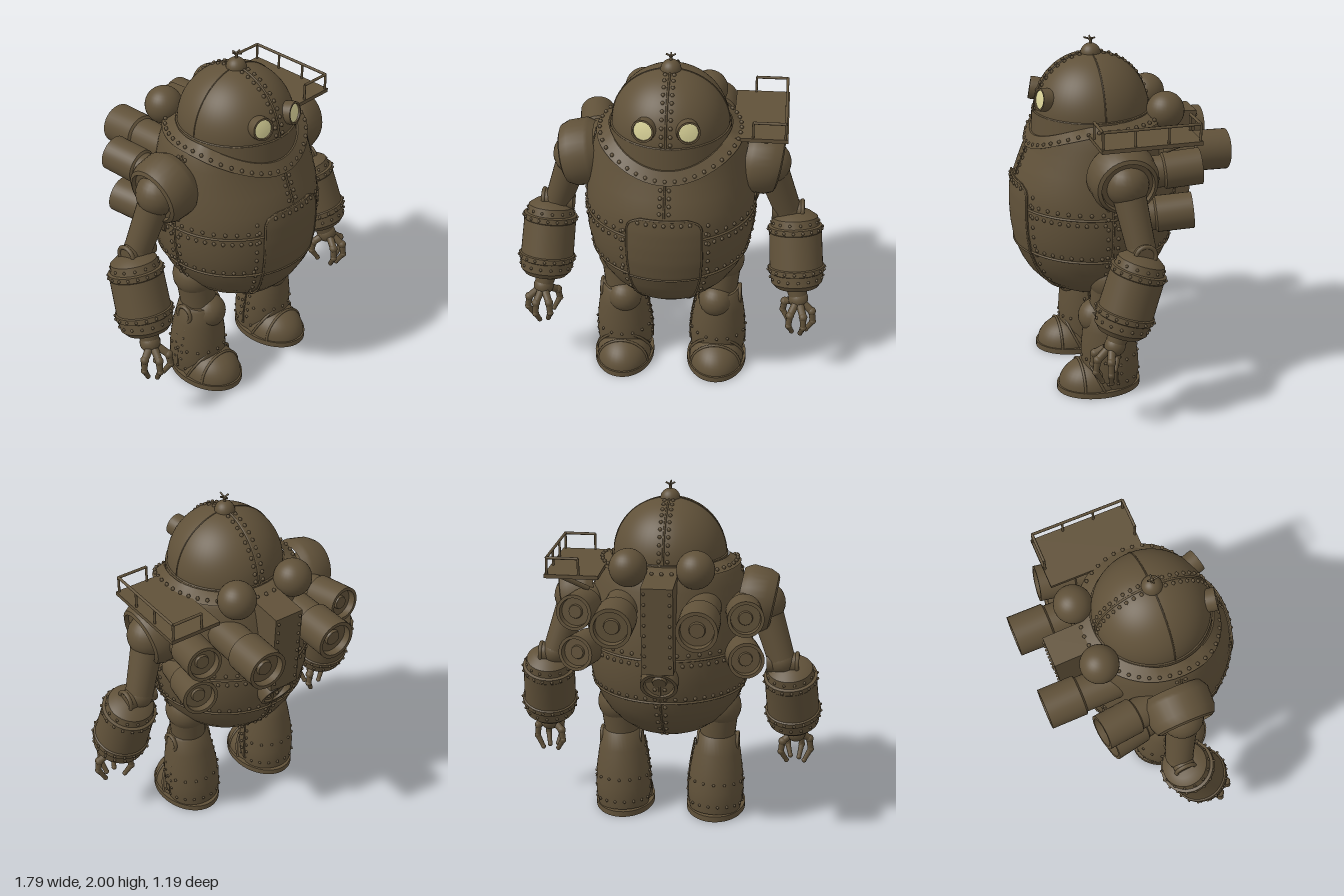
import * as THREE from 'three';
import { mergeGeometries, mergeVertices, toCreasedNormals } from 'three/addons/utils/BufferGeometryUtils.js';

const V = (x, y, z) => new THREE.Vector3(x, y, z);
const CZ = 0.12; // depth of the body's axis
// Body profile: height, radius at sides and back, radius at the front
const PROFILE = [
  [0.515, 0, 0], [0.52, 0.09, 0.09], [0.535, 0.165, 0.165], [0.57, 0.24, 0.24], [0.62, 0.305, 0.305],
  [0.68, 0.36, 0.36], [0.75, 0.405, 0.4], [0.84, 0.443, 0.435], [0.95, 0.467, 0.452], [1.05, 0.474, 0.456],
  [1.15, 0.472, 0.453], [1.23, 0.465, 0.44], [1.32, 0.452, 0.405], [1.4, 0.437, 0.37], [1.47, 0.423, 0.35],
  [1.53, 0.405, 0.34], [1.58, 0.375, 0.33], [1.6, 0.33, 0.33]];
const frontness = t => Math.max(0, Math.cos(t)) ** 2;

function bodyPoint(t, y, off = 0) {
  let k = 0;
  while (k < PROFILE.length - 2 && PROFILE[k + 1][0] < y) k++;
  const [a, b] = [PROFILE[k], PROFILE[k + 1]];
  const f = (y - a[0]) / (b[0] - a[0]), w = frontness(t);
  const at = p => p[1] + (p[2] - p[1]) * w;
  const r = at(a) + (at(b) - at(a)) * f + off;
  return V(r * Math.sin(t), y, CZ + r * Math.cos(t));
}

// Grid surface from fn(i, j): i runs to the right, j runs upward
function surface(fn, nu, nv, crease) {
  const pos = [], idx = [], w = nu + 1;
  for (let j = 0; j <= nv; j++) for (let i = 0; i <= nu; i++) pos.push(...fn(i, j).toArray());
  for (let j = 0; j < nv; j++) for (let i = 0; i < nu; i++) {
    const a = j * w + i;
    idx.push(a, a + 1, a + w, a + 1, a + w + 1, a + w);
  }
  let g = new THREE.BufferGeometry();
  g.setAttribute('position', new THREE.Float32BufferAttribute(pos, 3));
  g.setIndex(idx);
  g = mergeVertices(g, 1e-5);
  g.computeVertexNormals();
  return crease ? toCreasedNormals(g, crease) : g;
}

// Moves a geometry that rises along y so that it starts at a and points to b
function orient(g, a, b) {
  const q = new THREE.Quaternion().setFromUnitVectors(V(0, 1, 0), b.clone().sub(a).normalize());
  return g.applyQuaternion(q).translate(a.x, a.y, a.z);
}
const turned = (pts, a, b, n = 32) => orient(toCreasedNormals(
  new THREE.LatheGeometry(pts.map(p => new THREE.Vector2(...p)), n), 0.6), a, b);
function rod(a, b, r0, r1 = r0, n = 10) {
  const h = a.distanceTo(b);
  return orient(new THREE.CylinderGeometry(r1, r0, h, n).translate(0, h / 2, 0), a, b);
}
const ball = (p, r, n = 24) => new THREE.SphereGeometry(r, n, n * 0.6 | 0).translate(p.x, p.y, p.z);
const tube = (pts, r, closed = false) =>
  new THREE.TubeGeometry(new THREE.CatmullRomCurve3(pts, closed), pts.length * 3, r, 6, closed);
const steps = (n, fn) => Array.from({ length: n }, (_, i) => fn(i / (n - 1)));

export function createModel() {
  const model = new THREE.Group();
  const bronze = new THREE.MeshStandardMaterial({ color: 0x605139 });
  bronze.name = 'bronze';
  const glass = new THREE.MeshStandardMaterial({ color: 0xdcd59a });
  glass.name = 'paleGlass';
  const rivets = [], seams = [];
  const add = (name, g, mat = bronze) => {
    const m = new THREE.Mesh(g, mat);
    m.name = name;
    model.add(m);
    return m;
  };
  const rivet = (p, r = 0.0115) => rivets.push(new THREE.SphereGeometry(r, 6, 4).translate(p.x, p.y, p.z));
  const rivetRing = (a, b, d, r, n) => {
    const g = orient(new THREE.BufferGeometry().setFromPoints(
      steps(n + 1, f => V(r * Math.cos(f * 2 * Math.PI), d, r * Math.sin(f * 2 * Math.PI)))), a, b);
    for (let i = 0; i < n; i++) rivet(V().fromBufferAttribute(g.attributes.position, i), 0.009);
  };

  // Egg-shaped body, closed at the top by the dipping collar
  const outerY = t => 1.55 - 0.145 * frontness(t), innerY = t => 1.592 - 0.115 * frontness(t);
  const angle = (i, n) => -Math.PI + i / n * 2 * Math.PI;
  add('body', surface((i, j) => {
    const t = angle(i, 64);
    return bodyPoint(t, Math.min(PROFILE[j][0], outerY(t) + 0.01));
  }, 64, PROFILE.length - 1));
  add('collar', surface((i, j) => {
    const t = angle(i, 64), r = 0.337 + 0.008 * frontness(t);
    if (j === 0) return bodyPoint(t, outerY(t), -0.005);
    if (j === 1) return bodyPoint(t, outerY(t) + 0.004, 0.014);
    return V(r * Math.sin(t), innerY(t) + (j - 2) * 0.002, CZ + (r - (j - 2) * 0.02) * Math.cos(t));
  }, 64, 3, 0.6));
  steps(45, f => {
    const t = angle(f, 1);
    if (f < 1) rivet(bodyPoint(t, outerY(t) + 0.022, 0.006));
  });

  // Front hatch with rounded upper corners
  const HW = 0.45, hatchW = y => y < 1.15 ? HW : HW - 0.16 * (1 - Math.sqrt(Math.max(0, 1 - ((y - 1.15) / 0.08) ** 2)));
  add('hatch', surface((i, j) => {
    const y = 0.55 + 0.68 * Math.min(1, j / 28), w = hatchW(y);
    const u = Math.min(1, Math.max(-1, (i - 1) / 10 - 1));
    return bodyPoint(u * w, y, i === 0 || i === 22 || j === 29 ? -0.01 : 0.013);
  }, 22, 29, 0.6));
  for (const s of [-1, 1]) {
    seams.push(tube(steps(22, f => bodyPoint(s * hatchW(0.55 + 0.68 * f), 0.55 + 0.68 * f, 0.012)), 0.006));
    steps(11, f => rivet(bodyPoint(s * (HW + 0.09), 0.6 + 0.58 * f)));
  }
  seams.push(tube(steps(9, f => bodyPoint((f - 0.5) * 0.58, 1.23, 0.012)), 0.006));
  steps(7, f => rivet(bodyPoint((f - 0.5) * 0.62, 1.205, 0.013)));

  // Riveted plate seams
  for (const y of [0.84, 1.1]) {
    const full = y < 1, t0 = full ? 0 : HW;
    seams.push(tube(steps(48, f => bodyPoint(t0 + f * (2 * Math.PI - 2 * t0), y, 0.001)), 0.007));
    steps(50, f => rivet(bodyPoint(t0 + 0.06 + f * (2 * Math.PI - 2 * t0 - 0.12), y + (full ? 0.024 : -0.03))));
    if (full) seams.push(tube(steps(12, f => bodyPoint((f - 0.5) * 2 * HW, y, 0.013)), 0.006));
    else steps(40, f => rivet(bodyPoint(t0 + 0.06 + f * (2 * Math.PI - 2 * t0 - 0.12), y + 0.03)));
  }
  for (const [t, y0, y1, n] of [[0, 1.24, 1.4, 4], [Math.PI / 2, 0.56, 1.53, 17], [-Math.PI / 2, 0.56, 1.53, 17], [Math.PI, 0.56, 1.53, 17]]) {
    seams.push(tube(steps(n + 4, f => bodyPoint(t, y0 + f * (y1 - y0))), 0.006));
    for (const s of [-1, 1]) steps(n, f => rivet(bodyPoint(t + s * 0.06, y0 + 0.02 + f * (y1 - y0 - 0.04))));
  }

  // Neck and domed head
  const HY = 1.59, HR = 0.322;
  add('neck', new THREE.CylinderGeometry(0.33, 0.34, 0.2, 64).translate(0, 1.5, CZ));
  add('head', new THREE.SphereGeometry(HR, 56, 24, 0, Math.PI * 2, 0, Math.PI / 2).translate(0, HY, CZ));
  add('headRim', new THREE.TorusGeometry(HR, 0.009, 8, 64).rotateX(Math.PI / 2).translate(0, HY + 0.005, CZ));
  const onHead = (a, side) => V(side, HY + HR * Math.sin(a), CZ + HR * Math.cos(a));
  seams.push(tube(steps(30, f => onHead(f * Math.PI, 0)), 0.006));
  seams.push(tube(steps(30, f => V(HR * Math.cos(f * Math.PI), HY + HR * Math.sin(f * Math.PI), CZ)), 0.004));
  for (const s of [-1, 1]) steps(22, f => rivet(onHead(0.1 + f * (Math.PI - 0.2), s * 0.024)));
  add('headCap', new THREE.SphereGeometry(0.056, 24, 10, 0, Math.PI * 2, 0, Math.PI / 2).translate(0, 1.905, CZ));
  const tip = V(0, 1.982, CZ);
  add('finial', mergeGeometries([rod(V(0, 1.95, CZ), tip, 0.008), ball(tip, 0.011, 10),
    rod(tip, V(0.026, 1.995, CZ), 0.005), rod(tip, V(-0.026, 1.995, CZ), 0.005),
    rod(tip, V(0, 1.995, CZ + 0.038), 0.005), rod(tip, V(0, 1.99, CZ - 0.026), 0.005)]));

  // Pipe with a collar and a hollow mouth
  const pipe = (name, a, b, r) => {
    const L = a.distanceTo(b);
    add(name, turned([[0, 0], [r * 0.86, 0], [r * 0.88, L - 0.21], [r, L - 0.2], [r, L], [r * 0.82, L],
      [r * 0.8, L - 0.04], [r * 0.4, L - 0.04], [r * 0.36, L - 0.025], [0, L - 0.025]], a, b));
  };

  for (const s of [-1, 1]) {
    const P = (x, y, z) => V(s * x, y, z);
    const side = s > 0 ? 'left' : 'right';

    // Eyes
    const e0 = P(0.095, 1.68, 0.33), e1 = P(0.122, 1.7, 0.44), dir = e1.clone().sub(e0).normalize();
    add(side + 'EyeSocket', turned([[0.06, 0], [0.064, 0.1], [0.062, 0.116], [0.052, 0.116], [0.05, 0.1], [0, 0.1]], e0, e1));
    add(side + 'EyeGlass', turned([[0.051, 0], [0.051, 0.003], [0.03, 0.006], [0, 0.007]], e0.clone().addScaledVector(dir, 0.104), e1.clone().addScaledVector(dir, 0.104)), glass);

    // Shoulder and upper arm
    const elbow = P(0.655, 1.0, 0.02), shoulder = P(0.545, 1.33, 0.07);
    add(side + 'ShoulderPad', turned([[0.16, 0], [0.18, 0.03], [0.19, 0.05], [0.185, 0.15], [0.165, 0.195], [0.145, 0.205], [0.14, 0.18], [0, 0.18]],
      P(0.4, 1.365, 0.075), P(0.61, 1.325, 0.075)));
    add(side + 'ShoulderBall', ball(shoulder, 0.12));
    add(side + 'UpperArm', rod(shoulder, elbow, 0.092, 0.078, 28));
    add(side + 'Elbow', mergeGeometries([ball(elbow, 0.08), rod(P(0.57, 0.99, 0.02), P(0.745, 0.99, 0.02), 0.06, 0.06, 24),
      new THREE.TorusGeometry(0.055, 0.012, 8, 24).rotateY(Math.PI / 2).translate(s * 0.742, 0.99, 0.02)]));

    // Forearm drum
    const f0 = P(0.7, 0.985, 0.02), f1 = P(0.735, 0.54, 0.17);
    add(side + 'Forearm', turned([[0, 0], [0.09, 0.005], [0.13, 0.035], [0.138, 0.08], [0.154, 0.085], [0.154, 0.115], [0.15, 0.12],
      [0.153, 0.32], [0.162, 0.325], [0.162, 0.355], [0.153, 0.36], [0.147, 0.42], [0.12, 0.45], [0.07, 0.462], [0, 0.462]], f0, f1, 40));
    rivetRing(f0, f1, 0.06, 0.135, 14);
    rivetRing(f0, f1, 0.1, 0.156, 18);
    rivetRing(f0, f1, 0.34, 0.164, 18);
    rivetRing(f0, f1, 0.39, 0.152, 16);

    // Hand with four jointed fingers
    const hand = P(0.745, 0.49, 0.19), parts = [rod(f1, hand, 0.06, 0.05, 20), ball(hand, 0.058)];
    for (const [ax, az, len] of [[0.9, 0.3, 1], [0.35, 1, 1], [-0.5, 0.95, 0.95], [-0.85, -0.55, 0.9]]) {
      const q = (r, y) => V(hand.x + s * ax * r, 0.49 - y * len, hand.z + 0.015 + az * r);
      const j = [q(0.035, 0.015), q(0.09, 0.055), q(0.1, 0.125), q(0.06, 0.195)];
      for (let k = 0; k < 3; k++) parts.push(rod(j[k], j[k + 1], 0.023 - k * 0.003, 0.021 - k * 0.004, 12), ball(j[k + 1], 0.025 - k * 0.005, 12));
    }
    add(side + 'Hand', mergeGeometries(parts));

    // Hip, knee and shin
    const LX = 0.277;
    add(side + 'Hip', ball(P(0.3, 0.68, 0.09), 0.125));
    add(side + 'Thigh', rod(P(0.3, 0.68, 0.09), P(0.28, 0.42, 0.11), 0.11, 0.1, 28));
    const s0 = P(LX, 0.03, 0.08), s1 = P(LX + 0.01, 0.5, 0.115);
    add(side + 'Shin', turned([[0.15, 0], [0.162, 0.06], [0.165, 0.13], [0.158, 0.24], [0.14, 0.36], [0.12, 0.46], [0.108, 0.475], [0, 0.475]], s0, s1, 36));
    add(side + 'KneeCap', ball(P(0.267, 0.44, 0.17), 0.1));
    add(side + 'KneeDiscs', mergeGeometries([rod(P(0.165, 0.45, 0.11), P(0.405, 0.45, 0.11), 0.058, 0.058, 24),
      new THREE.TorusGeometry(0.05, 0.011, 8, 24).rotateY(Math.PI / 2).translate(s * 0.405, 0.45, 0.11)]));
    rivetRing(s0, s1, 0.05, 0.162, 18);
    rivetRing(s0, s1, 0.19, 0.164, 16);
    for (const k of [-1, 1]) {
      seams.push(tube([P(LX + k * 0.163, 0.08, 0.085), P(LX + k * 0.164, 0.17, 0.09), P(LX + k * 0.15, 0.32, 0.1), P(LX + k * 0.125, 0.46, 0.11)], 0.005));
      for (const d of [-0.025, 0.025]) steps(6, f => rivet(P(LX + k * (0.163 - 0.032 * f * f), 0.14 + 0.26 * f, 0.09 + d + 0.02 * f), 0.009));
    }

    // Boot
    add(side + 'Sole', new THREE.CylinderGeometry(1, 1, 0.034, 48).scale(0.176, 1, 0.243).translate(s * LX, 0.017, 0.157));
    add(side + 'Toe', new THREE.SphereGeometry(1, 32, 14, 0, Math.PI * 2, 0, Math.PI / 2).scale(0.16, 0.15, 0.2).translate(s * LX, 0.03, 0.19));
    const arch = (z, rx, ry, lean) => tube(steps(14, f => P(LX + rx * Math.cos(f * Math.PI), 0.03 + ry * Math.sin(f * Math.PI), z + lean * Math.sin(f * Math.PI))), 0.008);
    seams.push(arch(0.27, 0.147, 0.14, 0), arch(0.16, 0.16, 0.17, 0.08));

    // Rear tanks and exhaust pipes
    add(side + 'RearSphere', ball(P(0.185, 1.6, -0.255), 0.106, 32));
    pipe(side + 'MainExhaust', P(0.225, 1.37, -0.1), P(0.228, 1.36, -0.595), 0.113);
    pipe(side + 'UpperExhaust', P(0.42, 1.33, 0.02), P(0.47, 1.365, -0.365), 0.1);
    pipe(side + 'LowerExhaust', P(0.4, 1.08, 0.03), P(0.475, 1.115, -0.325), 0.1);
  }

  // Back spine box and lower vent
  const spine = add('spineBox', new THREE.BoxGeometry(0.175, 0.5, 0.26));
  spine.position.set(0, 1.31, -0.325);
  spine.rotation.x = -0.07;
  for (const x of [-0.07, 0.07]) steps(8, f => rivet(V(x, 1.1 + 0.42 * f, -0.444 - 0.03 * f), 0.009));
  pipe('lowerVent', V(0, 1.08, -0.17), V(0, 0.96, -0.385), 0.105);

  // Lookout platform on the left shoulder
  add('platform', new THREE.BoxGeometry(0.3, 0.022, 0.55).translate(0.49, 1.553, -0.045));
  const rails = [], z0 = -0.31, z1 = 0.22, rx = 0.625, ix = 0.45, top = 1.655;
  for (const [x, z] of [[ix, z0], [rx, z0], [rx, -0.135], [rx, 0.045], [rx, z1], [ix, z1]]) rails.push(rod(V(x, 1.555, z), V(x, top, z), 0.007));
  rails.push(rod(V(ix, top, z0), V(rx, top, z0), 0.008), rod(V(rx, top, z0), V(rx, top, z1), 0.008), rod(V(rx, top, z1), V(ix, top, z1), 0.008));
  add('railing', mergeGeometries(rails));
  add('platformBraces', mergeGeometries([0.18, -0.04, -0.26].map(z => rod(V(0.57, 1.545, z), V(0.42, 1.45, z * 0.7), 0.014))));

  add('plateSeams', mergeGeometries(seams));
  add('rivets', mergeGeometries(rivets));
  return model;
}
